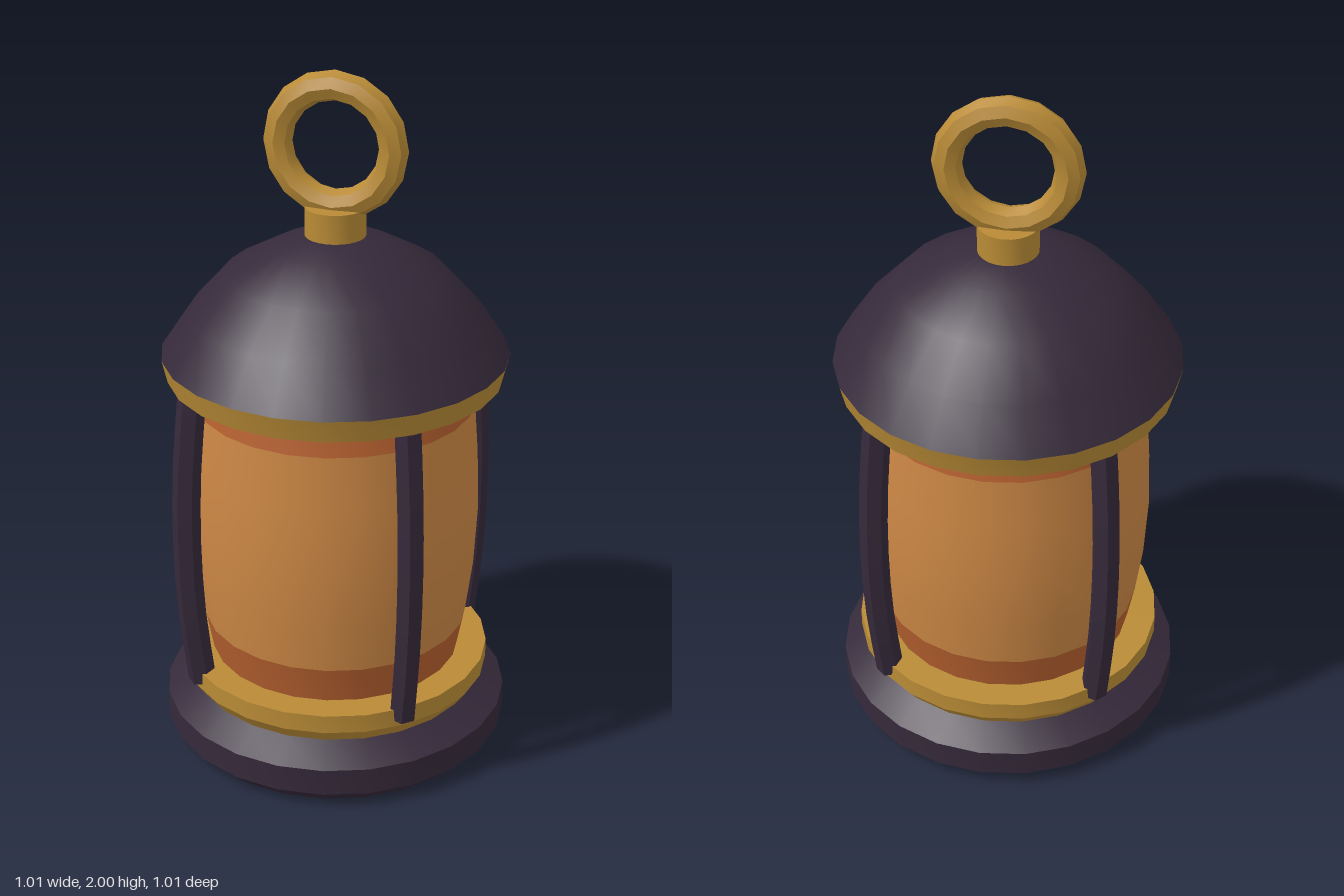
import * as THREE from 'three';
import { toCreasedNormals } from 'three/addons/utils/BufferGeometryUtils.js';

const SIDES = 24;

function material(name, color) {
  const m = new THREE.MeshStandardMaterial({ color });
  m.name = name;
  return m;
}

export function createModel() {
  const iron = material('dark iron', 0x35293a);
  const brass = material('brass', 0xb98b36);
  const glass = material('amber glass', 0xcd8845);
  const band = material('burnt orange', 0xb5602f);

  const lantern = new THREE.Group();
  lantern.name = 'lantern';

  function add(name, geometry, mat, parent = lantern) {
    const mesh = new THREE.Mesh(geometry, mat);
    mesh.name = name;
    parent.add(mesh);
    return mesh;
  }

  // Turned part: profile of [radius, height] pairs, listed bottom to top
  function turned(name, profile, mat, crease = 0.42) {
    const points = profile.map(([r, y]) => new THREE.Vector2(r, y));
    return add(name, toCreasedNormals(new THREE.LatheGeometry(points, SIDES), crease), mat);
  }

  // Base and the brass tray on it
  turned('base', [[0, 0], [0.46, 0], [0.505, 0.045], [0.505, 0.125], [0.42, 0.175], [0, 0.175]], iron);
  turned('tray', [[0, 0.172], [0.42, 0.172], [0.45, 0.215], [0.45, 0.27], [0, 0.27]], brass);

  // Barrel-shaped glass with a coloured band at each end
  turned('lowerGlassBand', [[0.365, 0.265], [0.386, 0.38]], band);
  turned('glass', [[0.386, 0.38], [0.405, 0.53], [0.414, 0.71], [0.408, 0.89], [0.396, 1.05]], glass);
  turned('upperGlassBand', [[0.396, 1.05], [0.378, 1.14]], band);

  // Roof with its brass rim
  turned('roofRim', [[0, 1.135], [0.475, 1.135], [0.49, 1.2], [0, 1.2]], brass);
  turned('roof', [[0.49, 1.2], [0.41, 1.32], [0.305, 1.435], [0.17, 1.51], [0.085, 1.54], [0, 1.54]], iron, 0.5);

  // Neck and carrying ring
  turned('neck', [[0, 1.53], [0.085, 1.53], [0.085, 1.622], [0, 1.622]], brass);
  const ringGeometry = new THREE.TorusGeometry(0.165, 0.042, 8, 16);
  const ring = add('carryingRing', toCreasedNormals(ringGeometry, 0.5), brass);
  ring.position.y = 1.794;

  // Four bowed bars on the diagonals
  const bow = new THREE.CatmullRomCurve3([
    new THREE.Vector3(0.432, 0.235, 0),
    new THREE.Vector3(0.458, 0.47, 0),
    new THREE.Vector3(0.466, 0.71, 0),
    new THREE.Vector3(0.458, 0.93, 0),
    new THREE.Vector3(0.436, 1.15, 0),
  ]);
  const barGeometry = toCreasedNormals(new THREE.TubeGeometry(bow, 8, 0.04, 6), 0.5);
  const ends = [0, 1].map((t) => {
    const cap = new THREE.CircleGeometry(0.04, 6);
    const direction = bow.getTangentAt(t).multiplyScalar(t ? 1 : -1);
    cap.applyQuaternion(new THREE.Quaternion().setFromUnitVectors(new THREE.Vector3(0, 0, 1), direction));
    const p = bow.getPointAt(t);
    return cap.translate(p.x, p.y, p.z);
  });
  for (let i = 0; i < 4; i++) {
    const bar = new THREE.Group();
    bar.name = 'bar' + (i + 1);
    add('barShaft', barGeometry, iron, bar);
    ends.forEach((cap) => add('barEnd', cap, iron, bar));
    bar.rotation.y = Math.PI / 4 + (i * Math.PI) / 2;
    lantern.add(bar);
  }

  return lantern;
}
